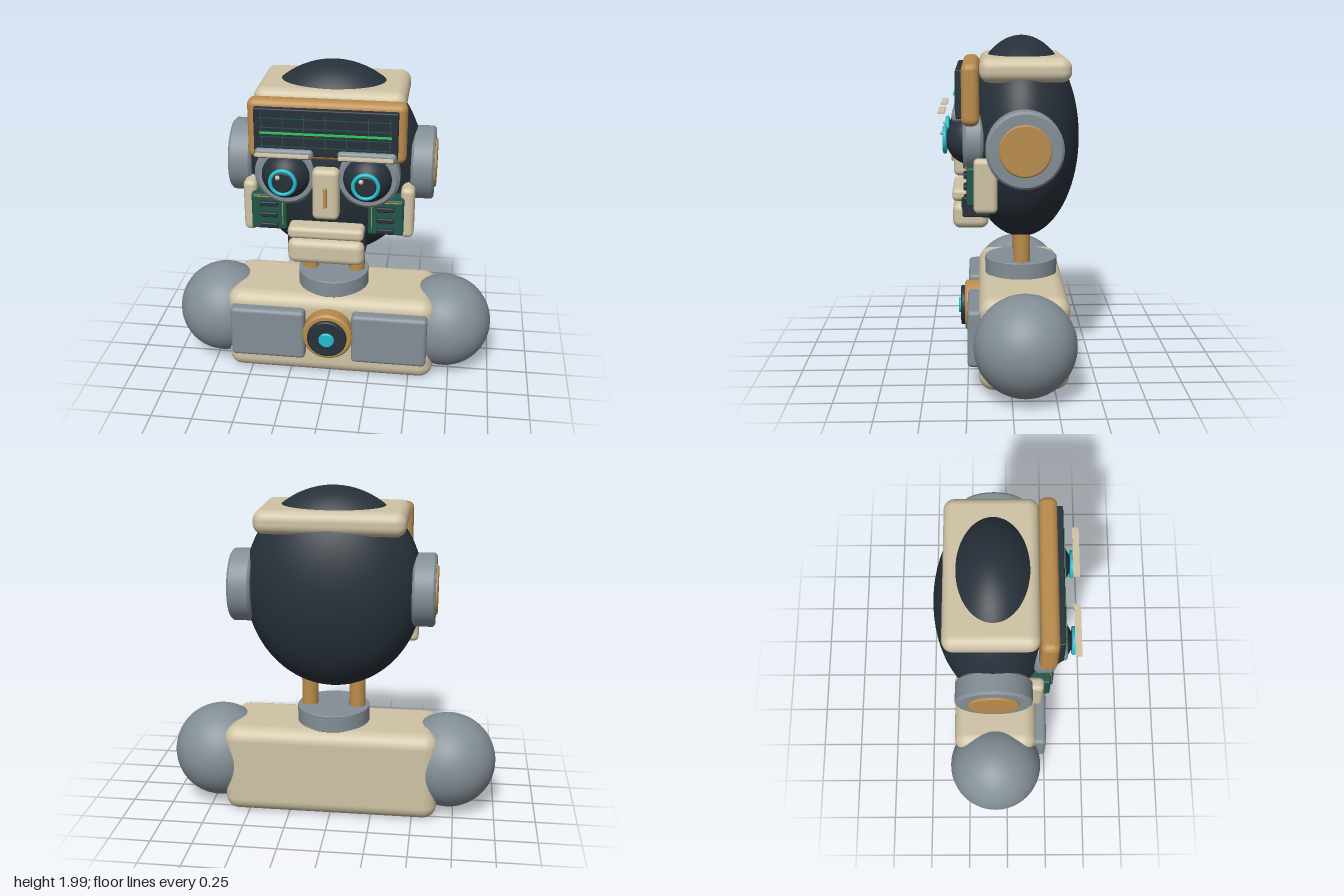
import * as THREE from 'three';
import { RoundedBoxGeometry } from 'three/addons/geometries/RoundedBoxGeometry.js';

const material = (name, color) => {
  const m = new THREE.MeshStandardMaterial({ color });
  m.name = name;
  return m;
};

export function createModel() {
  const model = new THREE.Group();
  model.name = 'robotBust';

  const dark = material('darkNavy', 0x27303a);
  const cream = material('cream', 0xcfc3a5);
  const brass = material('brass', 0xba8c4c);
  const grey = material('steelGrey', 0x838e96);
  const cyan = material('cyanGlow', 0x22bccd);
  const circuit = material('circuitGreen', 0x1f5648);
  const signal = material('signalGreen', 0x2fc95a);

  const add = (name, geometry, mat, x, y, z) => {
    const mesh = new THREE.Mesh(geometry, mat);
    mesh.name = name;
    mesh.position.set(x, y, z);
    model.add(mesh);
    return mesh;
  };
  // Boxes are given by their extents on each axis; r rounds the edges
  const box = (name, mat, [x0, x1], [y0, y1], [z0, z1], r = 0) => {
    const w = x1 - x0, h = y1 - y0, d = z1 - z0;
    const g = r ? new RoundedBoxGeometry(w, h, d, 5, r) : new THREE.BoxGeometry(w, h, d);
    return add(name, g, mat, (x0 + x1) / 2, (y0 + y1) / 2, (z0 + z1) / 2);
  };
  const span = (c, size) => [c - size / 2, c + size / 2];
  const mirrored = (s, a, b) => (s > 0 ? [a, b] : [-b, -a]);
  // Disc with a slightly bevelled rim, turned to face +z or sideways
  const disc = (name, mat, r, depth, x, y, z, axis = 'z', bevel = 0.006) => {
    const h = depth / 2;
    const corners = [[0, -h], [r - bevel, -h], [r, -h + bevel], [r, h - bevel], [r - bevel, h], [0, h]];
    const points = [];
    // Doubled points keep the rim crisp
    corners.forEach(([px, py], i) => {
      points.push(new THREE.Vector2(px, py));
      if (i > 0 && i < 5) points.push(new THREE.Vector2(px, py));
    });
    const mesh = add(name, new THREE.LatheGeometry(points, 48), mat, x, y, z);
    if (axis === 'z') mesh.rotation.x = Math.PI / 2;
    if (axis === 'x') mesh.rotation.z = Math.PI / 2;
    return mesh;
  };

  const midZ = -0.075;

  // Torso, chest core and neck base
  box('torso', cream, [-0.65, 0.65], [0, 0.55], [-0.335, 0.185], 0.085);
  disc('coreRing', brass, 0.155, 0.12, 0, 0.328, 0.21, 'z', 0.012);
  disc('coreLens', dark, 0.122, 0.04, 0, 0.328, 0.275);
  disc('coreLight', cyan, 0.048, 0.03, 0, 0.328, 0.295);
  disc('neckBase', grey, 0.22, 0.105, 0, 0.595, midZ, 'y', 0.004);

  // Skull and cap
  const skull = add('skull', new THREE.SphereGeometry(1, 64, 48), dark, 0, 1.385, midZ);
  skull.scale.set(0.53, 0.605, 0.345);
  box('cap', cream, [-0.435, 0.435], [1.74, 1.88], [-0.345, 0.175], 0.06);

  // Visor with its grid and signal trace
  box('visorFrame', brass, [-0.45, 0.45], [1.5, 1.852], [0.175, 0.277], 0.04);
  box('visorScreen', dark, [-0.405, 0.405], [1.54, 1.815], [0.25, 0.31], 0.008);
  for (let i = 0; i < 7; i++) {
    box('gridColumn', circuit, span(-0.36 + i * 0.12, 0.005), [1.58, 1.785], [0.308, 0.313]);
  }
  for (let i = 0; i < 4; i++) {
    box('gridRow', circuit, [-0.37, 0.37], span(1.595 + i * 0.055, 0.005), [0.308, 0.313]);
  }
  box('signalTrace', signal, [-0.37, 0.37], span(1.675, 0.011), [0.312, 0.321]);

  // Nose and mouth
  box('nose', cream, [-0.077, 0.077], [1.155, 1.467], [0.2, 0.33], 0.032);
  box('noseSlit', brass, [-0.011, 0.011], [1.24, 1.36], [0.32, 0.345], 0.005);
  box('mouthCavity', dark, [-0.23, 0.23], [0.93, 1.065], [0.11, 0.285], 0.02);
  box('upperLip', cream, [-0.222, 0.222], [1.03, 1.105], [0.21, 0.338], 0.028);
  box('chin', cream, [-0.225, 0.225], [0.865, 1.018], [0.125, 0.335], 0.045);

  for (const s of [1, -1]) {
    // Shoulder, chest panel, neck post
    add('shoulder', new THREE.SphereGeometry(0.29, 48, 32), grey, s * 0.71, 0.31, midZ);
    box('chestPanel', grey, mirrored(s, 0.145, 0.61), [0.143, 0.478], [0.16, 0.25], 0.026);
    add('neckPost', new THREE.CylinderGeometry(0.05, 0.05, 0.36, 32), brass, s * 0.145, 0.77, midZ);

    // Ear
    disc('ear', grey, 0.217, 0.135, s * 0.5375, 1.387, midZ, 'x', 0.014);
    disc('earCap', brass, 0.145, 0.04, s * 0.597, 1.387, midZ, 'x');

    // Eye
    const ex = s * 0.235, ey = 1.402;
    disc('eyeSocket', grey, 0.183, 0.12, ex, ey, 0.21, 'z', 0.02);
    add('eyeball', new THREE.SphereGeometry(0.147, 40, 28), dark, ex, ey, 0.222);
    const iris = add('iris', new THREE.TorusGeometry(0.071, 0.0115, 12, 48), cyan, ex, ey, 0.375);
    iris.scale.z = 1.1;
    disc('pupil', dark, 0.06, 0.025, ex, ey, 0.372);
    add('eyeGlint', new THREE.SphereGeometry(0.014, 16, 12), cream, ex - 0.025, ey + 0.035, 0.391);

    // Brow and its thin shade
    box('brow', grey, mirrored(s, 0.068, 0.4), [1.522, 1.582], [0.22, 0.332], 0.022);
    box('browShade', cream, mirrored(s, 0.083, 0.385), [1.567, 1.576], [0.372, 0.41]);

    // Circuit cheek with traces and vents
    box('cheekBoard', circuit, mirrored(s, 0.238, 0.445), [1.047, 1.268], [0.12, 0.25], 0.012);
    box('cheekTrace', brass, mirrored(s, 0.25, 0.43), span(1.254, 0.005), [0.248, 0.255]);
    box('cheekTrace', brass, mirrored(s, 0.258, 0.263), [1.08, 1.254], [0.248, 0.255]);
    for (const y of [1.212, 1.143, 1.075]) {
      box('cheekVent', dark, mirrored(s, 0.288, 0.392), span(y, 0.03), [0.24, 0.268], 0.008);
    }
    box('jawGuard', cream, mirrored(s, 0.422, 0.502), [1.013, 1.325], [0.075, 0.21], 0.03);
  }

  return model;
}
